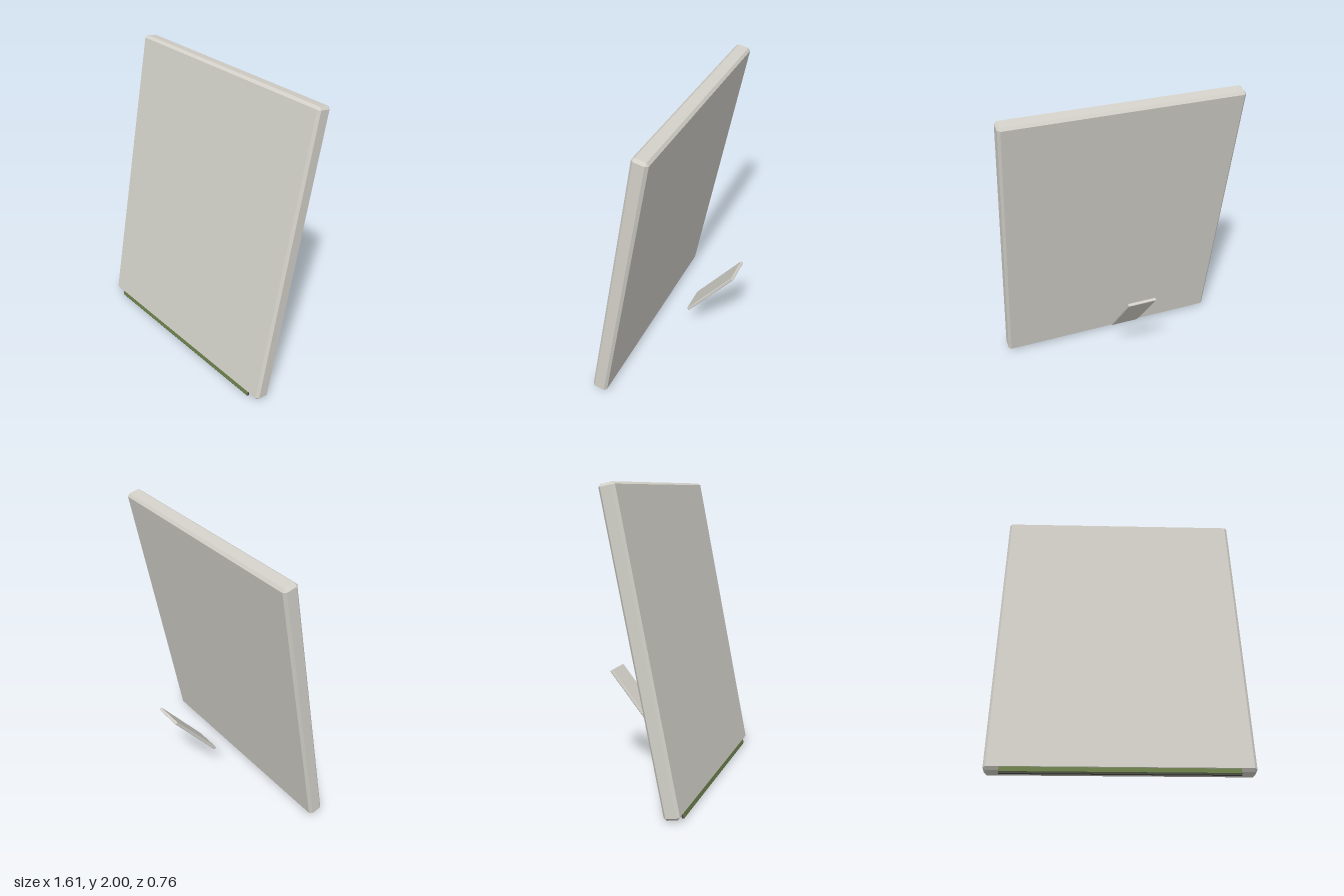
import * as THREE from 'three';
import { ConvexGeometry } from 'three/addons/geometries/ConvexGeometry.js';

// Box with flat 45 degree chamfers on every edge
function chamferBox(w, h, d, c) {
  const points = [];
  const x = w / 2, y = h / 2, z = d / 2;
  for (const sx of [-1, 1]) for (const sy of [-1, 1]) for (const sz of [-1, 1]) {
    points.push(
      new THREE.Vector3(sx * x, sy * (y - c), sz * (z - c)),
      new THREE.Vector3(sx * (x - c), sy * y, sz * (z - c)),
      new THREE.Vector3(sx * (x - c), sy * (y - c), sz * z)
    );
  }
  return new ConvexGeometry(points);
}

function material(name, color) {
  const m = new THREE.MeshStandardMaterial({ color });
  m.name = name;
  return m;
}

function addPart(parent, name, geometry, mat, x, y, z) {
  const mesh = new THREE.Mesh(geometry, mat);
  mesh.name = name;
  mesh.position.set(x, y, z);
  parent.add(mesh);
  return mesh;
}

export function createModel() {
  const model = new THREE.Group();
  model.name = 'pictureFrame';

  const frameGrey = material('warmLightGrey', 0xd2d0c8);
  const green = material('pictureGreen', 0x6b7f4a);
  const dark = material('backingDark', 0x4a4a44);

  // Leaning frame: its parts share one tilt
  const leaning = new THREE.Group();
  leaning.name = 'leaningFrame';
  leaning.position.set(0, 1.005, 0.13);
  leaning.rotation.x = -0.2;
  model.add(leaning);

  addPart(leaning, 'frameSlab', chamferBox(1.61, 2.015, 0.105, 0.017), frameGrey, 0, 0, 0);

  // Picture and backing sheet, protruding slightly below the slab
  const sheetHeight = 1.8;
  addPart(leaning, 'picture', new THREE.BoxGeometry(1.42, sheetHeight, 0.007), green,
    0, -1.022 + sheetHeight / 2, 0.0465);
  addPart(leaning, 'backingSheet', new THREE.BoxGeometry(1.42, sheetHeight, 0.013), dark,
    0, -1.031 + sheetHeight / 2, 0.0365);

  // Rear support, leaning back more steeply
  const stand = addPart(model, 'rearStand', chamferBox(0.2, 0.53, 0.02, 0.004), frameGrey, 0, 0.51, -0.207);
  stand.rotation.x = -0.68;

  return model;
}
